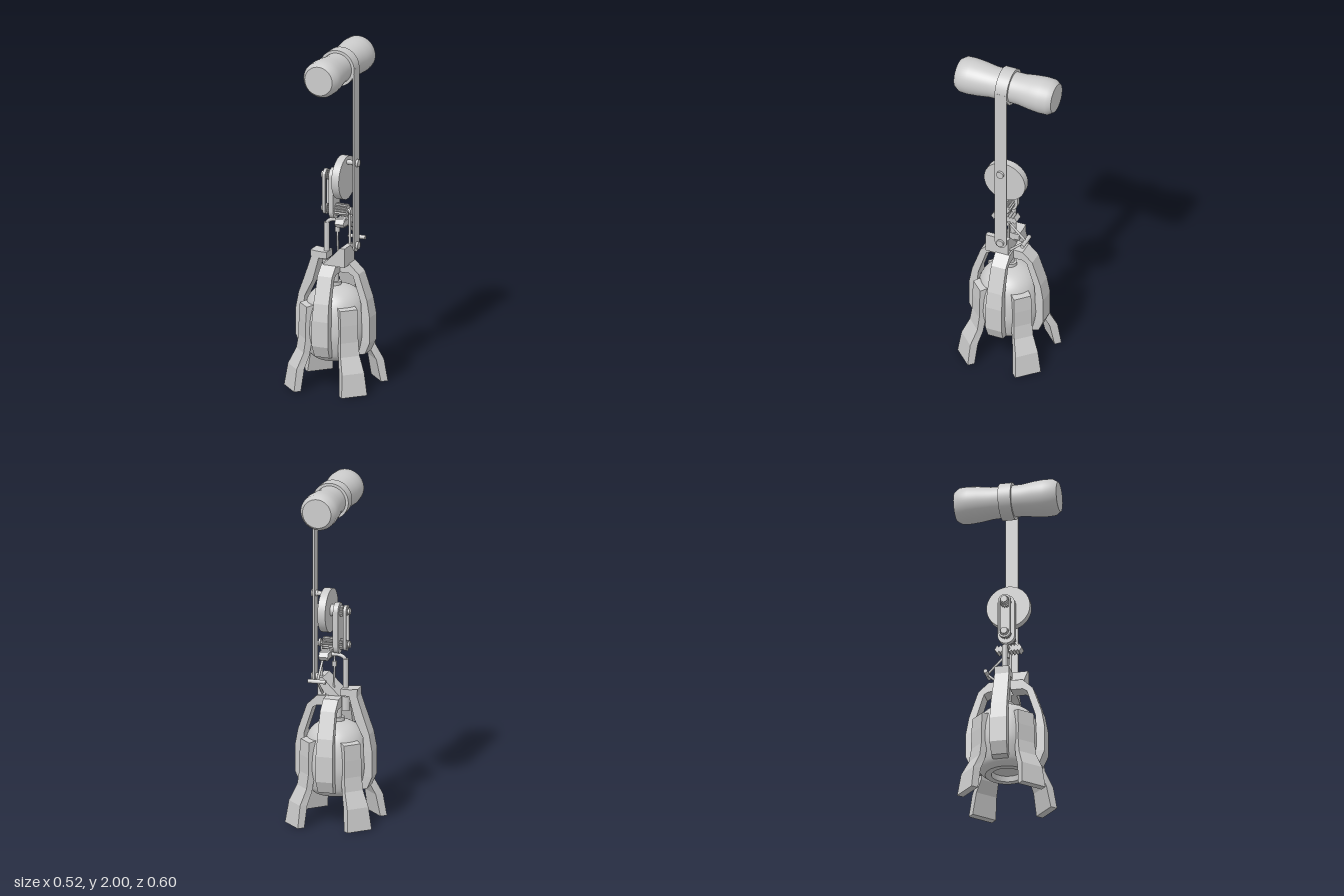
import * as THREE from 'three';
import { toCreasedNormals } from 'three/addons/utils/BufferGeometryUtils.js';

const V = (x, y, z) => new THREE.Vector3(x, y, z);

export function createModel() {
  const root = new THREE.Group();
  const smooth = new THREE.MeshStandardMaterial({ color: 0xcccccc, side: THREE.DoubleSide });
  const flat = new THREE.MeshStandardMaterial({ color: 0xcccccc, side: THREE.DoubleSide, flatShading: true });

  const add = (name, geo, mat = smooth) => {
    const mesh = new THREE.Mesh(geo, mat);
    mesh.name = name;
    root.add(mesh);
    return mesh;
  };
  const box = (name, x0, x1, y0, y1, z0, z1) =>
    add(name, new THREE.BoxGeometry(x1 - x0, y1 - y0, z1 - z0), flat)
      .position.set((x0 + x1) / 2, (y0 + y1) / 2, (z0 + z1) / 2);
  // Round bar between two points
  const rod = (name, a, b, r, sides = 16) => {
    const m = add(name, new THREE.CylinderGeometry(r, r, a.distanceTo(b), sides));
    m.position.copy(a).lerp(b, 0.5);
    m.quaternion.setFromUnitVectors(V(0, 1, 0), b.clone().sub(a).normalize());
  };
  const pin = (name, x0, x1, y, r, z = 0) => rod(name, V(x0, y, z), V(x1, y, z), r);
  // Shape drawn in z/y, given thickness from x0 to x1
  const plate = (name, shape, x0, x1) => {
    const g = new THREE.ExtrudeGeometry(shape, { depth: x1 - x0, bevelEnabled: false, curveSegments: 16 });
    g.rotateY(Math.PI / 2).translate(x0, 0, 0);
    add(name, toCreasedNormals(g, 0.6));
  };
  // Link outline with round ends centred on yLow and yHigh
  const linkPath = (yLow, yHigh, r, P = THREE.Shape) => {
    const s = new P();
    s.absarc(0, yHigh, r, 0, Math.PI, false);
    s.absarc(0, yLow, r, Math.PI, Math.PI * 2, false);
    s.closePath();
    return s;
  };
  const gear = (name, x0, x1, y, r, depth, teeth) => {
    const s = new THREE.Shape();
    for (let i = 0; i < teeth * 4; i++) {
      const a = (i / (teeth * 4)) * Math.PI * 2, k = i % 4 < 2 ? r : r - depth;
      s[i ? 'lineTo' : 'moveTo'](Math.cos(a) * k, y + Math.sin(a) * k);
    }
    s.closePath();
    plate(name, s, x0, x1);
  };
  // Four-sided limb: sections are [inner radius, inner y, outer radius, outer y, half width]
  const limb = (name, sections, angle) => {
    const pos = [], idx = [], n = sections.length;
    for (const [ri, yi, ro, yo, w] of sections) pos.push(ri, yi, w, ro, yo, w, ro, yo, -w, ri, yi, -w);
    for (let i = 0; i < n - 1; i++)
      for (let j = 0; j < 4; j++) {
        const a = i * 4 + j, b = i * 4 + (j + 1) % 4;
        idx.push(a, b, b + 4, a, b + 4, a + 4);
      }
    const t = (n - 1) * 4;
    idx.push(0, 2, 1, 0, 3, 2, t, t + 1, t + 2, t, t + 2, t + 3);
    const g = new THREE.BufferGeometry();
    g.setAttribute('position', new THREE.Float32BufferAttribute(pos, 3));
    g.setIndex(idx);
    g.rotateY(angle);
    add(name, g.toNonIndexed(), flat).geometry.computeVertexNormals();
  };
  const lathe = pts => new THREE.LatheGeometry(pts.map(p => new THREE.Vector2(...p)), 48);

  // Egg-shaped body with a recessed underside
  const side = new THREE.SplineCurve([[0.14, 0.18], [0.165, 0.21], [0.188, 0.3], [0.19, 0.37], [0.18, 0.45],
    [0.155, 0.52], [0.11, 0.565], [0.05, 0.588], [0, 0.59]].map(p => new THREE.Vector2(...p)));
  add('body', new THREE.LatheGeometry(side.getPoints(32), 48));
  add('bodyBase', toCreasedNormals(lathe([[0, 0.2], [0.085, 0.2], [0.09, 0.168], [0.125, 0.168], [0.14, 0.18]]), 0.5));
  rod('bodyNeck', V(-0.01, 0.57, 0), V(-0.01, 0.74, 0), 0.026, 24);
  rod('neckCollar', V(-0.01, 0.58, 0), V(-0.01, 0.61, 0), 0.04, 24);

  // Diagonal feet
  for (let i = 0; i < 4; i++)
    limb('foot', [
      [0.245, 0, 0.287, 0, 0.078], [0.22, 0.13, 0.267, 0.13, 0.068], [0.185, 0.2, 0.22, 0.22, 0.058],
      [0.165, 0.3, 0.207, 0.3, 0.055], [0.155, 0.4, 0.206, 0.4, 0.054], [0.12, 0.505, 0.2, 0.49, 0.053]
    ], Math.PI / 4 + i * Math.PI / 2);

  // Four curved arms holding the body; the one on the right stands taller
  const lower = [[0.16, 0.2, 0.2, 0.21, 0.046], [0.17, 0.28, 0.23, 0.28, 0.05], [0.18, 0.43, 0.23, 0.43, 0.05],
    [0.175, 0.51, 0.212, 0.53, 0.047]];
  const upper = [[0.125, 0.665, 0.16, 0.68, 0.045], [0.1, 0.68, 0.1, 0.737, 0.045], [0.03, 0.68, 0.03, 0.74, 0.045]];
  const tall = [[0.125, 0.61, 0.18, 0.62, 0.045], [0.09, 0.745, 0.138, 0.745, 0.042], [0.09, 0.785, 0.14, 0.79, 0.042]];
  for (let i = 0; i < 4; i++)
    limb('arm', [...lower, ...(i === 2 ? tall : upper)], i * Math.PI / 2);
  box('rightArmBracket', -0.11, -0.04, 0.745, 0.785, -0.042, 0.042);

  // Wedge bracket above the arms
  const wedge = new THREE.Shape([[-0.04, 0.73], [0.1, 0.73], [0.1, 0.842], [0.07, 0.842], [0.03, 0.8]]
    .map(p => new THREE.Vector2(...p)));
  add('wedgeBracket', new THREE.ExtrudeGeometry(wedge, { depth: 0.14, bevelEnabled: false }), flat).position.z = -0.035;

  // Handle with a waist, its clamp and the long strap
  const grip = [[0, -0.3], [0.085, -0.3], [0.105, -0.27], [0.107, -0.22], [0.102, -0.16], [0.092, -0.09], [0.09, 0],
    [0.092, 0.09], [0.102, 0.16], [0.107, 0.22], [0.105, 0.27], [0.085, 0.3], [0, 0.3]];
  const handle = add('handle', toCreasedNormals(lathe(grip), 0.6));
  handle.rotation.x = Math.PI / 2;
  handle.position.set(0.022, 1.893, 0);
  rod('handleClamp', V(0.022, 1.893, -0.037), V(0.022, 1.893, 0.037), 0.107, 48);
  const strap = new THREE.Shape();
  strap.moveTo(0.036, 1.9);
  strap.lineTo(-0.036, 1.9);
  strap.absarc(0, 0.838, 0.036, Math.PI, Math.PI * 2, false);
  plate('strap', strap, 0.118, 0.129);

  // Crank disc and pins
  rod('crankDisc', V(0.026, 1.235, 0), V(0.072, 1.235, 0), 0.127, 48);
  pin('crankPin', 0.07, 0.14, 1.33, 0.014);
  pin('strapLowerPin', 0.1, 0.138, 0.838, 0.014);
  for (const y of [1.33, 0.838]) {
    pin('pinHead', 0.129, 0.143, y, 0.022);
    pin('pinCollar', 0.105, 0.118, y, 0.018);
  }

  // Two links carried by the upper and lower shafts
  plate('innerLink', linkPath(1.035, 1.235, 0.05), -0.026, 0.004);
  const loop = linkPath(1.04, 1.237, 0.036);
  loop.holes.push(linkPath(1.04, 1.237, 0.026, THREE.Path));
  plate('outerBelt', loop, -0.07, -0.052);
  pin('upperShaft', -0.08, 0.03, 1.237, 0.013);
  pin('lowerShaft', -0.085, 0.1, 1.04, 0.012);
  for (const y of [1.237, 1.04]) {
    pin('beltPulley', -0.072, -0.05, y, 0.024);
    pin('shaftCap', -0.085, -0.076, y, 0.02);
    gear('shaftGear', -0.044, -0.028, y, 0.032, 0.007, 14);
  }
  pin('upperHub', 0.004, 0.026, 1.237, 0.035);
  gear('pinion', 0.004, 0.075, 1.04, 0.037, 0.009, 14);
  pin('shaftCap', 0.088, 0.1, 1.04, 0.022);

  // Toothed rack under the pinion
  const rack = new THREE.Shape();
  rack.moveTo(-0.08, 0.975);
  for (let i = 0; i <= 16; i++) rack.lineTo(-0.072 + i * 0.009, 0.988 + (i % 2 ? 0.014 : 0));
  rack.lineTo(0.08, 0.975);
  for (let i = 16; i >= 0; i--) rack.lineTo(-0.072 + i * 0.009, 0.964 - (i % 2 ? 0.012 : 0));
  plate('toothedRack', rack, 0.025, 0.08);

  // Bent push rod on the right and its socket
  const path = new THREE.CatmullRomCurve3([V(-0.057, 0.68, 0), V(-0.057, 0.8, 0), V(-0.057, 0.92, 0),
    V(-0.05, 0.96, 0), V(-0.02, 0.975, 0), V(0.03, 0.975, 0)], false, 'centripetal');
  add('pushRod', new THREE.TubeGeometry(path, 40, 0.011, 10));
  rod('pushRodSleeve', V(-0.057, 0.74, 0), V(-0.057, 0.955, 0), 0.016);
  rod('pushRodSocket', V(-0.06, 0.65, 0), V(-0.06, 0.735, 0), 0.023);
  rod('centreRod', V(0.012, 0.78, 0), V(0.008, 0.97, 0), 0.006);
  rod('centreRodNut', V(0.009, 0.905, 0), V(0.009, 0.935, 0), 0.014, 6);
  rod('sideRod', V(0.085, 0.84, 0), V(0.085, 1.045, 0), 0.008);

  // Folding elbow linkage at the back
  const elbow = [V(0.07, 0.95, -0.025), V(0.07, 0.845, -0.132), V(0.07, 0.745, -0.025)];
  rod('upperElbowRod', elbow[0], elbow[1], 0.007);
  rod('lowerElbowRod', elbow[1], elbow[2], 0.007);
  pin('elbowPin', 0.02, 0.125, 0.845, 0.012, -0.132);
  for (const p of [elbow[0], elbow[2]]) pin('elbowEndPin', 0.05, 0.09, p.y, 0.012, p.z);

  return root;
}
